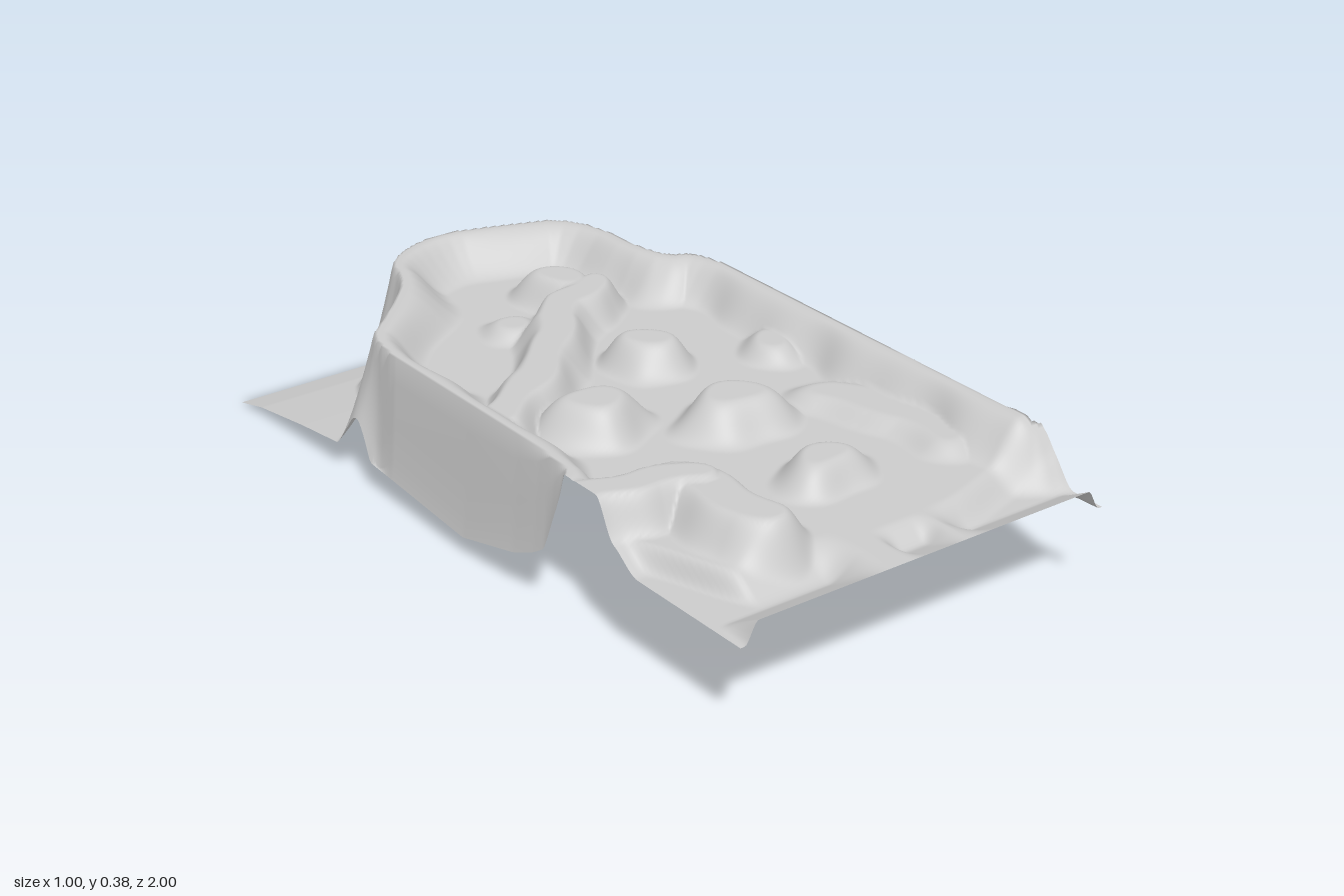
import * as THREE from 'three';

const FLOOR = 0.285, TOP = 0.375;
const { clamp, lerp, smoothstep: smooth } = THREE.MathUtils;

// cuts the corners of an open path to round it
function rounded(path) {
  const out = [path[0]];
  for (let i = 1; i < path.length; i++) {
    const [ax, az] = path[i - 1], [bx, bz] = path[i];
    for (const t of [0.25, 0.75]) out.push([lerp(ax, bx, t), lerp(az, bz, t)]);
  }
  return [...out, path[path.length - 1]];
}

// crest of the outer wall, from the left end round the back to the right end
const WALL = rounded(rounded([[-0.62, 0.42], [-0.5, 0.41], [-0.475, 0.36], [-0.475, -0.1], [-0.475, -0.42], [-0.36, -0.52], [-0.21, -0.67],
  [-0.18, -0.80], [0, -0.875], [0.17, -0.82], [0.36, -0.75], [0.37, -0.42], [0.475, -0.38], [0.475, -0.1],
  [0.478, 0.5], [0.478, 0.76], [0.482, 0.8], [0.62, 0.8]]));
// the area enclosed by the wall, open at the front
const INSIDE = [...WALL, [0.9, 0.8], [0.9, 1.5], [-0.9, 1.5], [-0.9, 0.42]];
// inner ridges
const RIDGES = [
  { path: rounded([[0.17, -0.42], [0.02, -0.36], [-0.11, -0.19], [-0.26, -0.06], [-0.42, 0.04]]), r: 0.1, h: 0.075 },
  { path: [[-0.27, 0.52], [-0.26, 0.75]], r: 0.125, h: 0.08 },
  { path: [[-0.52, 0.48], [-0.36, 0.51], [-0.27, 0.54]], r: 0.1, h: 0.09 },
  { path: rounded([[0.30, 0.32], [0.37, 0.48], [0.38, 0.64]]), r: 0.11, h: 0.03 },
];
// mounds: x, z, radius x, radius z, height
const MOUNDS = [[-0.22, 0.12, 0.16, 0.135, 0.085], [0.08, -0.08, 0.12, 0.125, 0.075], [0.13, -0.51, 0.11, 0.15, 0.075],
  [0.06, 0.28, 0.175, 0.135, 0.08], [0.04, 0.61, 0.15, 0.105, 0.063], [0.36, 0.04, 0.09, 0.11, 0.04], [-0.07, -0.42, 0.09, 0.09, 0.03]];
// ragged foot of the sheet along each long side: z, y
const FOOT_RIGHT = [[-1, 0], [-0.9, 0.025], [-0.7, 0.055], [-0.45, 0.085], [-0.42, 0.12], [-0.37, 0.2], [-0.3, 0.09], [-0.25, 0.065],
  [-0.17, 0.1], [-0.08, 0.2], [-0.02, 0.07], [0.2, 0.09], [0.34, 0.15], [0.37, 0.28], [0.41, 0.31], [0.44, 0.2], [0.5, 0.15],
  [0.55, 0.2], [0.6, 0.14], [0.7, 0.14], [0.8, 0.11]];
const FOOT_LEFT = [[-1, 0], [-0.9, 0.025], [-0.7, 0.055], [-0.45, 0.085], [-0.25, 0.07], [0, 0.05], [0.2, 0.1], [0.32, 0.15], [0.38, 0.28]];

function lookup(table, t) {
  for (let i = 1; i < table.length; i++) {
    const [a, ya] = table[i - 1], [b, yb] = table[i];
    if (t <= b) return lerp(ya, yb, (t - a) / (b - a));
  }
  return table[table.length - 1][1];
}

function distanceTo(path, x, z) {
  let best = Infinity;
  for (let i = 1; i < path.length; i++) {
    const [ax, az] = path[i - 1], [bx, bz] = path[i];
    const dx = bx - ax, dz = bz - az;
    const t = clamp(((x - ax) * dx + (z - az) * dz) / (dx * dx + dz * dz), 0, 1);
    best = Math.min(best, Math.hypot(x - ax - dx * t, z - az - dz * t));
  }
  return best;
}

function isInside(x, z) {
  let inside = false;
  for (let i = 0, j = INSIDE.length - 1; i < INSIDE.length; j = i++) {
    const [xi, zi] = INSIDE[i], [xj, zj] = INSIDE[j];
    if ((zi > z) !== (zj > z) && x < ((xj - xi) * (z - zi)) / (zj - zi) + xi) inside = !inside;
  }
  return inside;
}

// flat-topped bump: 1 in the middle, 0 at t = 1
const bump = (t) => 1 - smooth(t, 0.35, 1);

function heightAt(x, z) {
  const d = distanceTo(WALL, x, z);
  if (!isInside(x, z)) {
    // outer face of the wall, flaring into the low ground
    const foot = lerp(lookup(FOOT_LEFT, z), lookup(FOOT_RIGHT, z), smooth(x, -0.45, 0.45));
    const width = lerp(0.105, 0.024, smooth(z, -0.47, -0.36));
    return foot + (TOP - foot) * Math.pow(1 - clamp(d / width, 0, 1), 1.4);
  }
  // wall crest with a wavy inner slope
  const wave = 0.018 * Math.sin(z * 17 + x * 5) + 0.01 * Math.sin(z * 31);
  let rise = (TOP - FLOOR) * (1 - smooth(d, 0.02, 0.13 + wave));
  // ridges and mounds on the floor
  const wx = x + 0.008 * Math.sin(z * 30), wz = z + 0.008 * Math.sin(x * 35);
  for (const { path, r, h } of RIDGES) rise = Math.max(rise, h * bump(distanceTo(path, wx, wz) / r));
  for (const [mx, mz, rx, rz, h] of MOUNDS) rise = Math.max(rise, h * bump(Math.hypot((wx - mx) / rx, (wz - mz) / rz)));
  // the two front corners step down, with a shallow dip between them
  const leftStart = lerp(0.56, 0.8, smooth(x, -0.48, -0.36));
  const left = (1 - smooth(x, -0.2, -0.1)) * smooth(z, leftStart, leftStart + 0.1);
  const rightStart = lerp(0.84, 0.77, smooth(x, 0.15, 0.45));
  const right = smooth(x, 0.1, 0.2) * smooth(z, rightStart, rightStart + 0.08);
  const middle = 0.8 * bump(Math.abs(x - 0.03) / 0.08) * smooth(z, 0.85, 0.93);
  // the steps climb back to floor level at the front edge, except at the outermost corners
  const climb = clamp((z - 0.91) / 0.09, 0, 1) * (1 - smooth(Math.abs(x), 0.455, 0.49));
  return FLOOR + rise - 0.05 * Math.max(left, right, middle) * (1 - climb);
}

export function createModel() {
  const group = new THREE.Group();
  group.name = 'terrain';

  // one thin sheet, raised by the height rule
  const geometry = new THREE.PlaneGeometry(1, 2, 140, 260).rotateX(-Math.PI / 2);
  const p = geometry.attributes.position;
  for (let i = 0; i < p.count; i++) p.setY(i, Math.max(0, heightAt(p.getX(i), p.getZ(i))));
  geometry.computeVertexNormals();

  const sheet = new THREE.Mesh(geometry, new THREE.MeshStandardMaterial({ color: 0xcccccc, side: THREE.DoubleSide }));
  sheet.name = 'landscapeSheet';
  group.add(sheet);
  return group;
}
